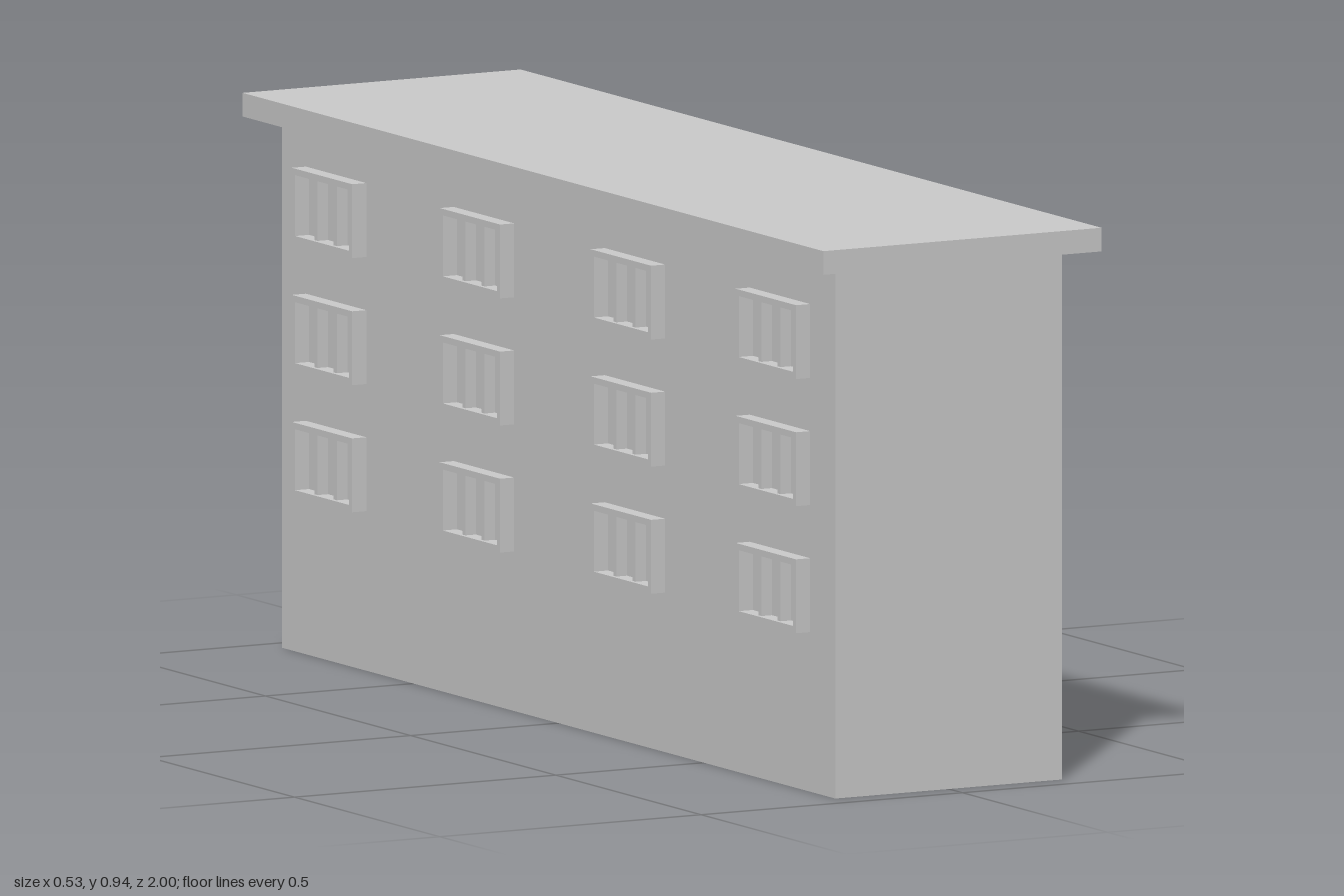
import * as THREE from 'three';

const material = new THREE.MeshStandardMaterial({ color: 0xcccccc, flatShading: true });
const WALL = 0.217; // half depth of the building

function box(name, w, h, d, x, y, z) {
  const mesh = new THREE.Mesh(new THREE.BoxGeometry(w, h, d), material);
  mesh.name = name;
  mesh.position.set(x, y, z);
  return mesh;
}

// Rectangular outline wound either way, used for frames and their openings
function rect(path, x0, y0, x1, y1) {
  path.moveTo(x0, y0);
  path.lineTo(x1, y0);
  path.lineTo(x1, y1);
  path.lineTo(x0, y1);
  path.closePath();
  return path;
}

// Extruded parts are drawn in XY, growing outwards along +z
function extrude(name, shape, depth) {
  const geometry = new THREE.ExtrudeGeometry(shape, { depth, bevelEnabled: false });
  const mesh = new THREE.Mesh(geometry, material);
  mesh.name = name;
  return mesh;
}

// Three-pane window: deep surround with two slimmer mullions
function makeWindow() {
  const group = new THREE.Group();
  group.name = 'window';
  const w = 0.104, h = 0.0625, t = 0.011;
  const shape = rect(new THREE.Shape(), -w, -h, w, h);
  shape.holes.push(rect(new THREE.Path(), -w + t, -h + t, w - t, h - t));
  group.add(extrude('windowFrame', shape, 0.027));
  for (const x of [-0.033, 0.033]) {
    group.add(box('mullion', 0.011, 2 * (h - t), 0.02, x, 0, 0.01));
  }
  return group;
}

// Door surround, open at the bottom
function makeDoor() {
  const w = 0.067, h = 0.245, t = 0.018;
  const shape = new THREE.Shape();
  const outline = [[-w, 0], [-w + t, 0], [-w + t, h - t], [w - t, h - t], [w - t, 0], [w, 0], [w, h], [-w, h]];
  shape.setFromPoints(outline.map(([x, y]) => new THREE.Vector2(x, y)));
  const group = new THREE.Group();
  group.name = 'door';
  group.add(extrude('doorFrame', shape, 0.026));
  return group;
}

export function createModel() {
  const model = new THREE.Group();
  model.name = 'apartmentBuilding';

  // Main block and overhanging flat roof
  model.add(box('walls', 2 * WALL, 0.896, 1.906, 0, 0.448, 0));
  model.add(box('roof', 0.532, 0.04, 2, 0, 0.916, 0));

  // Windows on both long sides, three floors by four columns
  for (const side of [1, -1]) {
    for (const y of [0.3325, 0.5475, 0.7625]) {
      for (const z of [0.762, 0.263, -0.257, -0.766]) {
        const pane = makeWindow();
        pane.rotation.y = side * Math.PI / 2;
        pane.position.set(side * WALL, y, z);
        model.add(pane);
      }
    }
  }

  // Entrances on one long side only
  for (const z of [0.509, 0.002, -0.525]) {
    const door = makeDoor();
    door.rotation.y = Math.PI / 2;
    door.position.set(WALL, 0, z);
    model.add(door);
  }
  return model;
}
